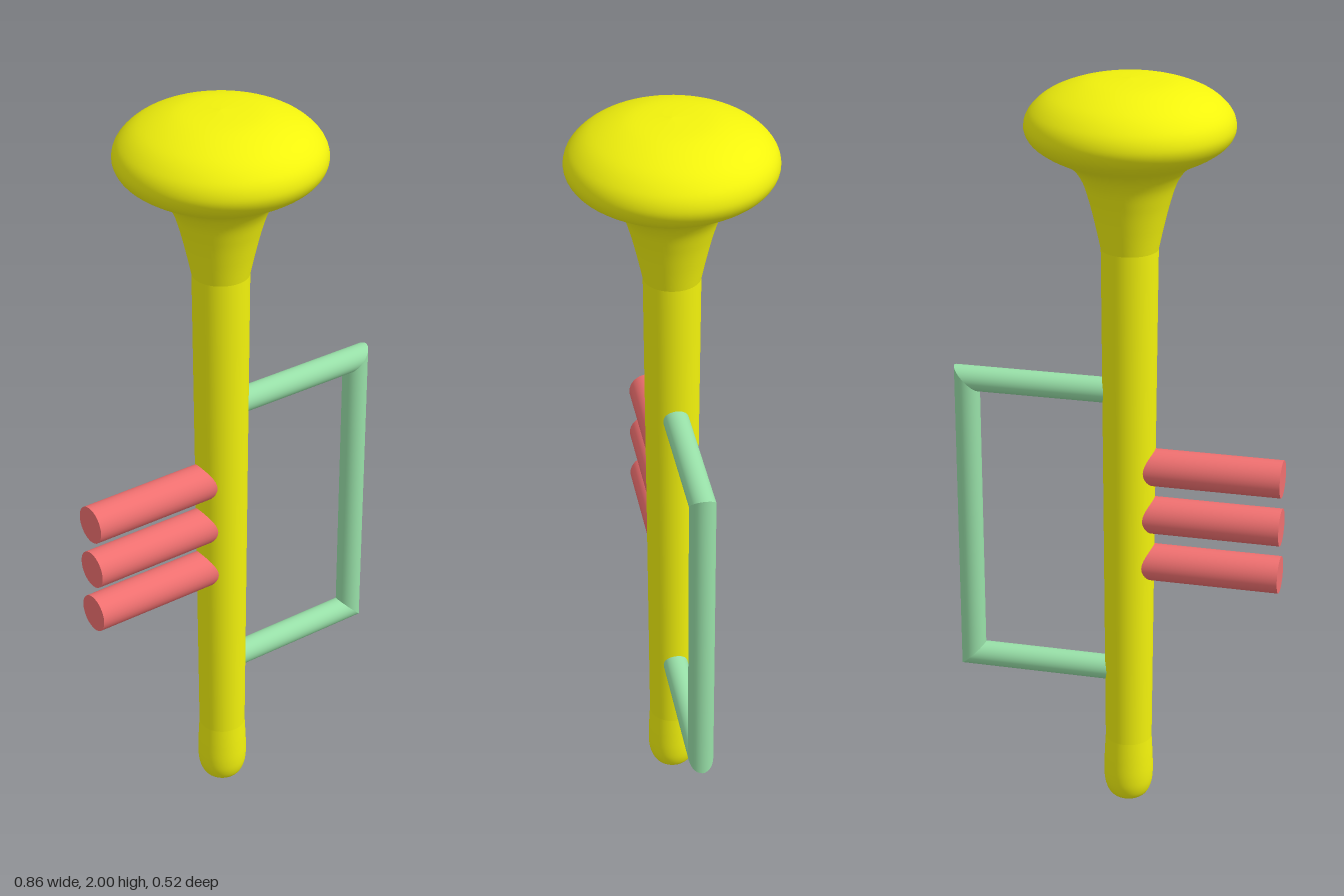
import * as THREE from 'three';

const AXIS_X = -0.035;

// Smooth turned surface from a few (radius, height) points, bottom to top
function turned(name, pairs, material, samples) {
  const curve = new THREE.SplineCurve(pairs.map(([r, y]) => new THREE.Vector2(r, y)));
  const points = curve.getPoints(samples).map(p => new THREE.Vector2(Math.max(p.x, 0), p.y));
  const mesh = new THREE.Mesh(new THREE.LatheGeometry(points, 64), material);
  mesh.name = name;
  mesh.position.x = AXIS_X;
  return mesh;
}

// Round bar along y; each end is sheared by its slope in x to form a mitre
function mitredBar(radius, length, topSlope, bottomSlope) {
  const geo = new THREE.CylinderGeometry(radius, radius, length, 32);
  const pos = geo.attributes.position;
  for (let i = 0; i < pos.count; i++) {
    const y = pos.getY(i);
    pos.setY(i, y + pos.getX(i) * (y > 0 ? topSlope : bottomSlope));
  }
  return geo;
}

export function createModel() {
  const group = new THREE.Group();
  const yellow = new THREE.MeshStandardMaterial({ color: 0xf2f20d });
  const red = new THREE.MeshStandardMaterial({ color: 0xf07070 });
  const green = new THREE.MeshStandardMaterial({ color: 0x98e0a8 });

  // Long tapering pipe with a rounded mouthpiece end
  group.add(turned('mouthpiece', [
    [0, 0.004], [0.03, 0.006], [0.05, 0.018], [0.062, 0.045], [0.066, 0.08],
    [0.065, 0.13], [0.062, 0.19],
  ], yellow, 40));
  group.add(turned('mainPipe', [[0.062, 0.19], [0.067, 0.9], [0.072, 1.57]], yellow, 12));

  // Flared bell closed by a dome
  group.add(turned('bell', [
    [0.072, 1.57], [0.085, 1.63], [0.101, 1.695], [0.12, 1.75], [0.152, 1.79],
    [0.215, 1.825], [0.248, 1.853], [0.259, 1.887], [0.243, 1.926],
    [0.195, 1.964], [0.11, 1.992], [0, 2],
  ], yellow, 80));

  // Three valves on the model's right
  for (const y of [0.715, 0.85, 0.985]) {
    const valve = new THREE.Mesh(new THREE.CylinderGeometry(0.049, 0.049, 0.375, 32), red);
    valve.name = 'valve';
    valve.rotation.z = Math.PI / 2;
    valve.position.set(-0.2475, y, 0);
    group.add(valve);
  }

  // Square tubing loop with mitred corners on the model's left
  const loop = new THREE.Group();
  loop.name = 'tubingLoop';
  const r = 0.033, x = 0.395, low = 0.389, high = 1.187, inner = -0.01;
  const upright = new THREE.Mesh(mitredBar(r, high - low, 1, -1), green);
  upright.name = 'loopUpright';
  upright.position.set(x, (low + high) / 2, 0);
  loop.add(upright);
  for (const [y, slope] of [[high, 1], [low, -1]]) {
    const arm = new THREE.Mesh(mitredBar(r, x - inner, -slope, 0), green);
    arm.name = 'loopArm';
    arm.rotation.z = -Math.PI / 2;
    arm.position.set((x + inner) / 2, y, 0);
    loop.add(arm);
  }
  group.add(loop);
  return group;
}
